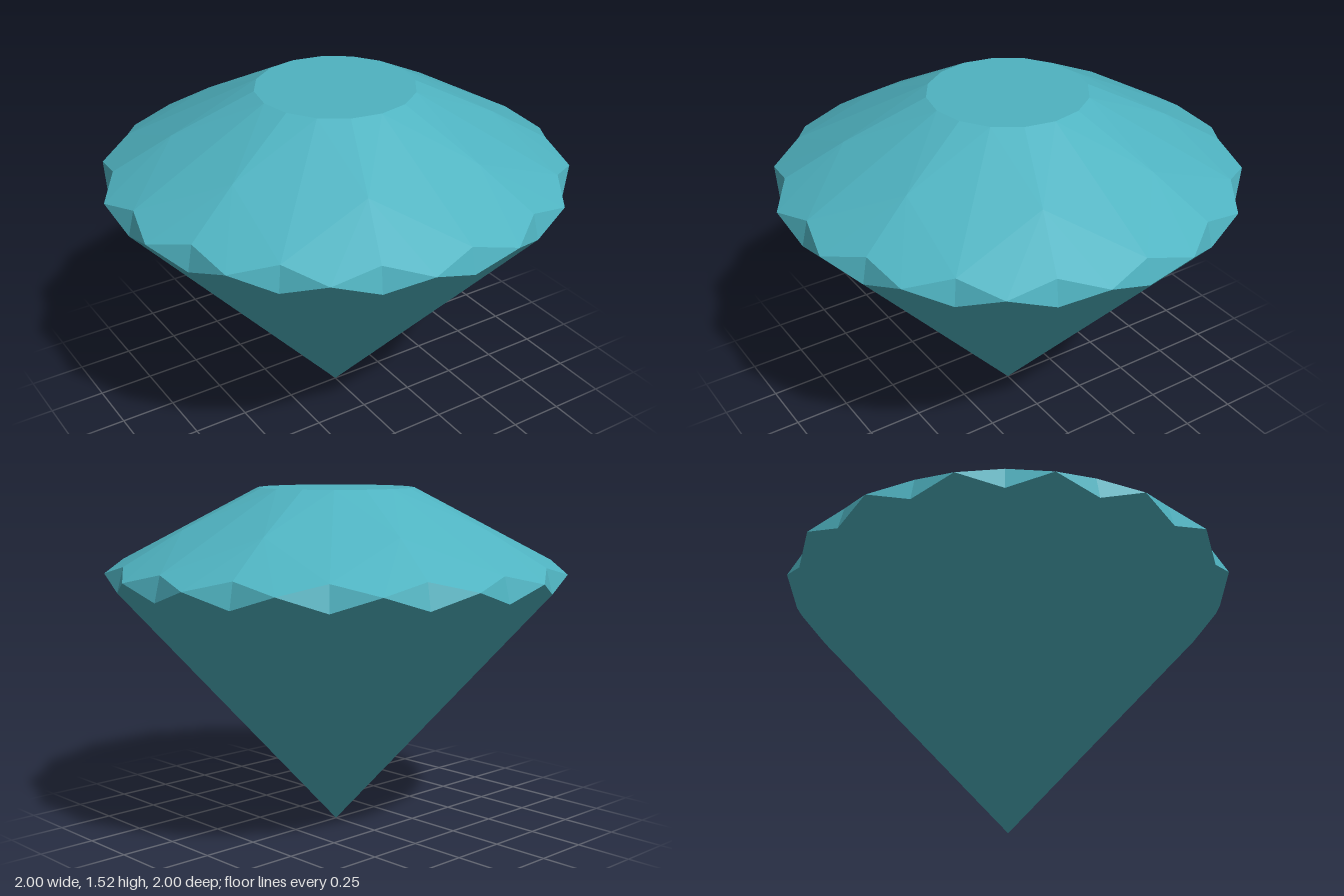
import * as THREE from 'three';

const SIDES = 16;
const STEP = (Math.PI * 2) / SIDES;

// Rings of corner points: radius and height
const TABLE = [0.346, 1.523];
const STAR = [0.7, 1.35];
const UPPER = [0.956, 1.203];
const GIRDLE = [1.0196, 1.158];
const LOWER = [0.984, 1.094];

// Corner k (in sixteenths of a turn) of a ring
const at = ([r, y], k) => new THREE.Vector3(r * Math.sin(k * STEP), y, r * Math.cos(k * STEP));

// Facets are polygons listed counter-clockwise from outside, fanned from their first corner
function facetMesh(name, facets, material) {
  const points = [];
  for (const f of facets) {
    for (let i = 1; i < f.length - 1; i++) points.push(f[0], f[i], f[i + 1]);
  }
  const geometry = new THREE.BufferGeometry().setFromPoints(points);
  geometry.computeVertexNormals();
  const mesh = new THREE.Mesh(geometry, material);
  mesh.name = name;
  return mesh;
}

export function createModel() {
  const material = new THREE.MeshStandardMaterial({ color: 0x4fb3c1, flatShading: true });
  const top = new THREE.Vector3(0, TABLE[1], 0);
  const tip = new THREE.Vector3(0, 0, 0);
  const table = [], stars = [], kites = [], upperGirdle = [], girdle = [], pavilion = [];

  for (let k = 0; k < SIDES; k++) {
    table.push([top, at(TABLE, k), at(TABLE, k + 1)]);
    // diamond facets round the rim, folded slightly inward
    girdle.push([at(UPPER, k), at(GIRDLE, k - 0.5), at(LOWER, k), at(GIRDLE, k + 0.5)]);
    // long facets down to the point
    pavilion.push([tip, at(LOWER, k + 1), at(GIRDLE, k + 0.5), at(LOWER, k)]);
  }

  // Crown repeats every eighth of a turn
  for (let k = 0; k < SIDES; k += 2) {
    kites.push([at(TABLE, k), at(STAR, k - 1), at(UPPER, k), at(STAR, k + 1)]);
    const s = at(STAR, k + 1);
    stars.push([s, at(TABLE, k + 2), at(TABLE, k + 1), at(TABLE, k)]);
    upperGirdle.push([s, at(UPPER, k), at(GIRDLE, k + 0.5), at(UPPER, k + 1)]);
    upperGirdle.push([s, at(UPPER, k + 1), at(GIRDLE, k + 1.5), at(UPPER, k + 2)]);
  }

  const gem = new THREE.Group();
  gem.name = 'gem';
  const parts = { table, starFacets: stars, kiteFacets: kites, upperGirdleFacets: upperGirdle, girdle, pavilion };
  for (const [name, facets] of Object.entries(parts)) gem.add(facetMesh(name, facets, material));
  return gem;
}
